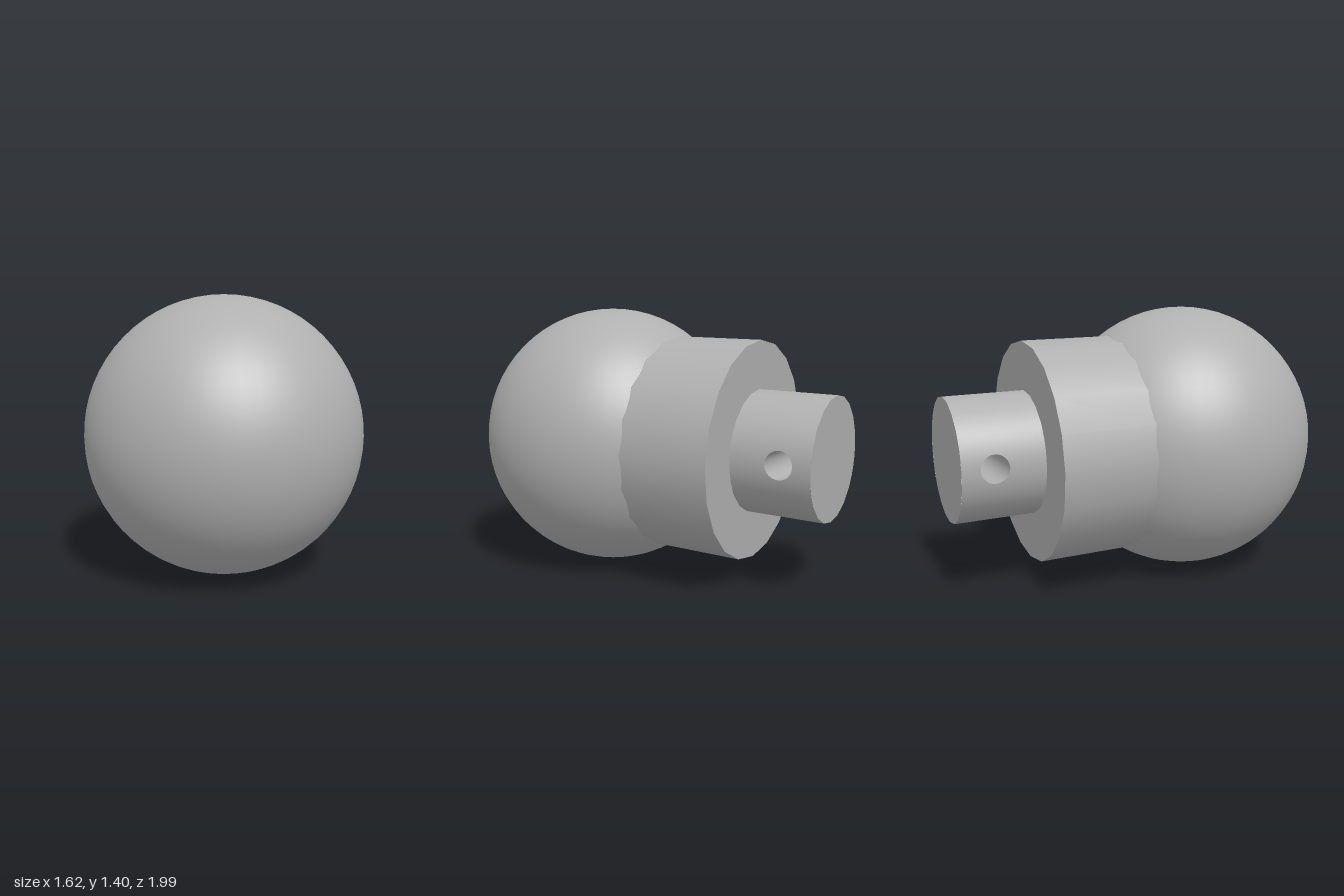
import * as THREE from 'three';

const STEM_R = 0.315, STEM_BASE = 0.86, STEM_END = 1.3;
const HOLE_R = 0.07, HOLE_T = 1.14;
const HALF = Math.PI / 5; // half angle of the stem wall panel around each hole

// Curved wall panel facing +x, lofted from the round hole to the panel border
function holePanel() {
  const N = 32, S = 5, pos = [], nor = [], idx = [];
  for (let i = 0; i <= N; i++) {
    const p = (i / N) * Math.PI * 2, c = Math.cos(p), s = Math.sin(p);
    const m = Math.max(Math.abs(c), Math.abs(s));
    const innerA = Math.asin((HOLE_R * c) / STEM_R), outerA = (HALF * c) / m;
    const innerY = HOLE_T + HOLE_R * s;
    const outerY = HOLE_T + (s / m) * (s > 0 ? STEM_END - HOLE_T : HOLE_T - STEM_BASE);
    for (let j = 0; j <= S; j++) {
      const a = THREE.MathUtils.lerp(innerA, outerA, j / S);
      const y = THREE.MathUtils.lerp(innerY, outerY, j / S);
      pos.push(STEM_R * Math.cos(a), y, -STEM_R * Math.sin(a));
      nor.push(Math.cos(a), 0, -Math.sin(a));
      if (i < N && j < S) {
        const k = i * (S + 1) + j, n = k + S + 1;
        idx.push(k, k + 1, n + 1, k, n + 1, n);
      }
    }
  }
  const g = new THREE.BufferGeometry();
  g.setAttribute('position', new THREE.Float32BufferAttribute(pos, 3));
  g.setAttribute('normal', new THREE.Float32BufferAttribute(nor, 3));
  g.setIndex(idx);
  return g;
}

// Tube through the stem whose ends follow the stem surface
function boreGeometry() {
  const g = new THREE.CylinderGeometry(HOLE_R, HOLE_R, 2, 32, 1, true).rotateZ(-Math.PI / 2);
  const p = g.attributes.position;
  for (let i = 0; i < p.count; i++) {
    p.setX(i, Math.sign(p.getX(i)) * Math.sqrt(STEM_R ** 2 - p.getZ(i) ** 2));
  }
  return g.translate(0, HOLE_T, 0);
}

export function createModel() {
  const model = new THREE.Group();
  const grey = new THREE.MeshStandardMaterial({ color: 0xb0b0b0, side: THREE.DoubleSide });
  grey.name = 'grey';
  const add = (parent, name, geometry) => {
    const mesh = new THREE.Mesh(geometry, grey);
    mesh.name = name;
    parent.add(mesh);
    return mesh;
  };

  // Ball
  add(model, 'ball', new THREE.SphereGeometry(0.7, 48, 32)).position.set(0.1, 0.705, 0.3);

  // Neck frame: y runs out of the ball along the shaft, x along the cross hole
  const axis = new THREE.Vector3(-0.472, -0.022, -0.882).normalize();
  const across = new THREE.Vector3(0.882, 0, -0.472).normalize();
  const third = new THREE.Vector3().crossVectors(across, axis);
  const neck = new THREE.Group();
  neck.name = 'neck';
  neck.position.set(0.1, 0.705, 0.3);
  neck.quaternion.setFromRotationMatrix(new THREE.Matrix4().makeBasis(across, axis, third));
  model.add(neck);

  // Collar
  add(neck, 'collar', new THREE.CylinderGeometry(0.563, 0.563, 0.5, 20)).position.y = 0.64;

  // Stem: two drilled panels, two plain panels, end cap and bore
  const stem = new THREE.Group();
  stem.name = 'stem';
  neck.add(stem);
  const len = STEM_END - STEM_BASE;
  for (const turn of [0, Math.PI]) {
    add(stem, 'drilledWall', holePanel()).rotation.y = turn;
    const wall = add(stem, 'plainWall', new THREE.CylinderGeometry(
      STEM_R, STEM_R, len, 6, 1, true, Math.PI / 2 + HALF, Math.PI - 2 * HALF));
    wall.position.y = STEM_BASE + len / 2;
    wall.rotation.y = turn;
  }
  add(stem, 'endCap', new THREE.CircleGeometry(STEM_R, 20).rotateX(-Math.PI / 2)).position.y = STEM_END;
  add(stem, 'crossHole', boreGeometry());

  return model;
}
